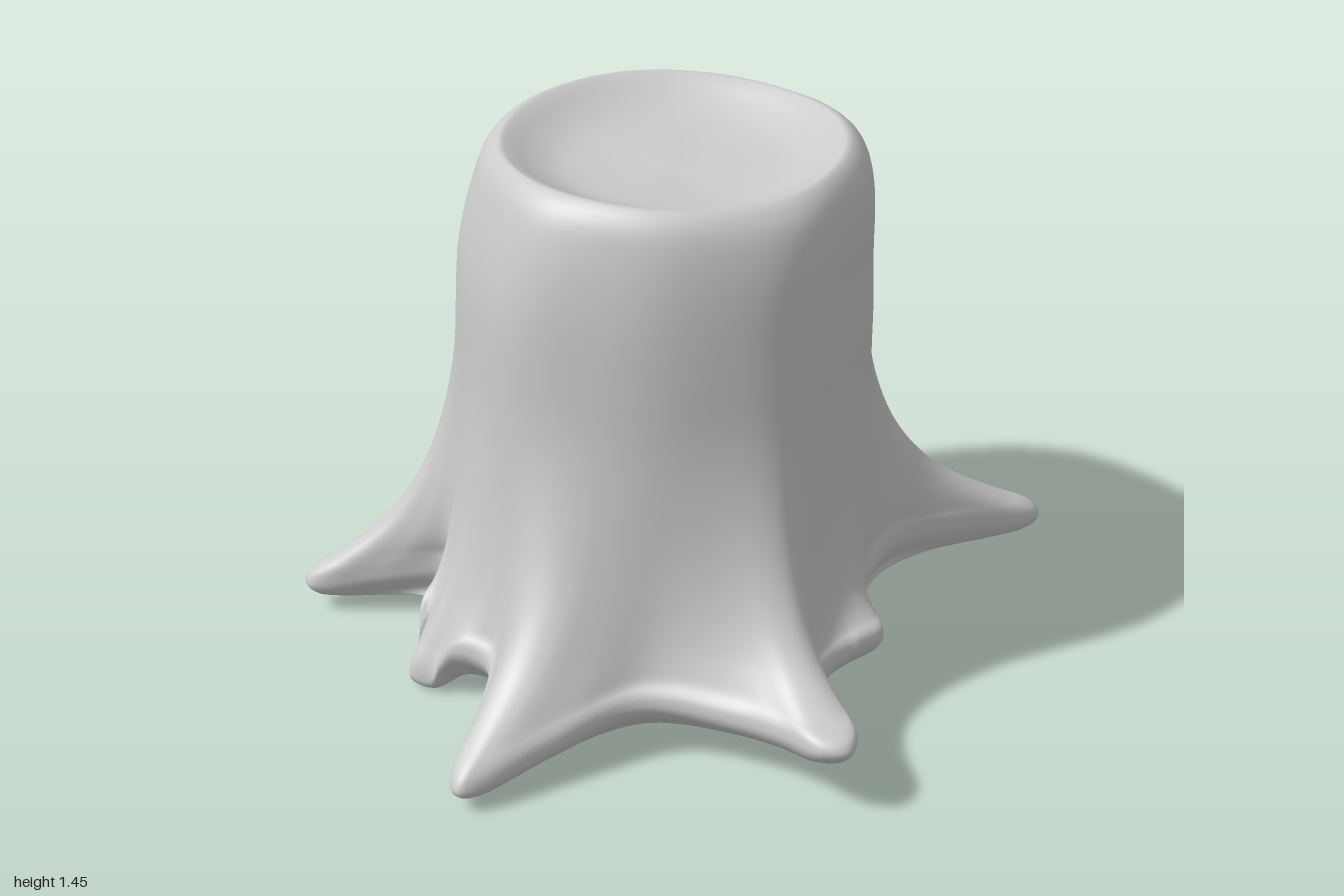
import * as THREE from 'three';

// Each root in turn around the trunk: tip x, z, tip height, tip half-width,
// then x, z of the start and of the end of the hollow before the next root
const ROOTS = [
  [-0.52, -1.0, 0.15, 0.07, -0.2, -0.73, 0.33, -0.64],
  [0.92, -0.82, 0.09, 0.045, 0.62, -0.38, 0.6, -0.06],
  [0.72, 0.12, 0.19, 0.065, 0.63, 0.27, 0.62, 0.4],
  [0.79, 0.67, 0.2, 0.06, 0.48, 0.61, 0.22, 0.63],
  [-0.13, 1.0, 0.07, 0.035, -0.22, 0.6, -0.33, 0.57],
  [-0.48, 0.53, 0.04, 0.055, -0.5, 0.4, -0.51, 0.21],
  [-0.92, 0.27, 0.09, 0.035, -0.58, -0.03, -0.55, -0.2],
  [-0.6, -0.38, 0.055, 0.05, -0.48, -0.41, -0.41, -0.56],
];

// Profile from the hollow top down the bark and under the base:
// [spread towards the root outline, height, scale of the trunk section]
const PROFILE = [
  [0, 1.37, 0], [0, 1.374, 0.35], [0, 1.388, 0.55], [0, 1.418, 0.68], [0, 1.447, 0.77],
  [0, 1.455, 0.82], [0, 1.41, 0.9], [0, 1.32, 0.95], [0, 1.2, 0.98], [0, 1.03, 1],
  [0.03, 0.85, 1], [0.1, 0.68, 1], [0.21, 0.52, 1], [0.34, 0.4, 1], [0.49, 0.305, 1],
  [0.65, 0.235, 1], [0.81, 0.18, 1], [0.92, 0.15, 1], [0.98, 0.125, 1], [1, 0.1, 1],
  [0.97, 0.073, 1], [0.86, 0.056, 1], [0.65, 0.052, 1], [0.35, 0.062, 1], [0, 0.08, 0.85],
  [0, 0.085, 0.5], [0, 0.085, 0],
];
const WIDEST = 19 / 26; // where along the profile the underside begins

const BASE_Y = 0.1;
const HOLLOW_Y = 0.17;

// Closed star-shaped outline running round every root
function rootOutline(samples) {
  const points = [];
  ROOTS.forEach(([x, z, y, w, sx, sz, ex, ez], i) => {
    const prev = ROOTS[(i + ROOTS.length - 1) % ROOTS.length];
    const tip = new THREE.Vector3(x, y, z);
    const before = new THREE.Vector3(prev[6], HOLLOW_Y, prev[7]);
    const after = new THREE.Vector3(sx, HOLLOW_Y, sz);
    const end = new THREE.Vector3(ex, HOLLOW_Y, ez);
    const across = after.clone().sub(before).setY(0).normalize().multiplyScalar(w);
    const shoulder = new THREE.Vector3(x - across.z * -0.7, y, z - across.x * 0.7);
    shoulder.set(x - across.z * 0.7, y, z + across.x * 0.7);
    const axisMid = before.clone().lerp(after, 0.5).lerp(tip, 0.5);
    const tipA = shoulder.clone().sub(across);
    const tipB = shoulder.clone().add(across);
    const flank = (hollow, side) => hollow.clone().lerp(side, 0.5).lerp(axisMid, 0.12);
    points.push(flank(before, tipA), tipA, tip, tipB, flank(after, tipB), after, end);
  });
  const curve = new THREE.CatmullRomCurve3(points, true);
  return Array.from({ length: samples }, (_, i) => curve.getPoint(i / samples));
}

// Running average round a closed loop of points
function soften(loop, reach) {
  const n = loop.length;
  return loop.map((_, i) => {
    const sum = new THREE.Vector3();
    for (let k = i - reach; k <= i + reach; k++) sum.add(loop[(k + n) % n]);
    return sum.divideScalar(2 * reach + 1);
  });
}

// Unit directions pointing into a closed loop
function inwardDirections(loop) {
  const n = loop.length;
  return loop.map((_, i) => {
    const t = loop[(i + 2) % n].clone().sub(loop[(i + n - 2) % n]);
    return new THREE.Vector3(-t.z, 0, t.x).normalize();
  });
}

function stumpGeometry() {
  const around = ROOTS.length * 42;
  const rows = 90;
  const outline = rootOutline(around);
  const inward = inwardDirections(outline);
  const broad = soften(outline, 11); // roots widen as they climb the trunk
  const angles = soften(outline, 23).map((p) => Math.atan2(p.z, p.x));
  const profile = new THREE.CatmullRomCurve3(PROFILE.map((p) => new THREE.Vector3(...p)));
  const positions = [];
  const index = [];

  for (let j = 0; j <= rows; j++) {
    const { x: spread, y: height, z: scale } = profile.getPoint(j / rows);
    const flute = THREE.MathUtils.smoothstep(scale, 0.75, 1);
    const top = THREE.MathUtils.smoothstep(height, 1.1, 1.4);
    // Roots narrow towards their underside
    const tuck = 0.03 * THREE.MathUtils.smoothstep(j / rows, WIDEST, WIDEST + 0.12);
    for (let i = 0; i < around; i++) {
      const a = angles[i];
      const o = broad[i].clone().lerp(outline[i], Math.min(1, spread * 1.3));
      o.addScaledVector(inward[i], tuck);
      // Gently fluted trunk section, leaning a little at the top
      const r = 0.55 * scale
        * (1 + flute * (0.02 * Math.cos(5 * (a - 0.66)) + 0.008 * Math.cos(9 * a + 1)));
      const rimWave = 0.007 * top * scale * Math.cos(3 * a + 1);
      positions.push(
        THREE.MathUtils.lerp(0.035 + 0.02 * top + r * Math.cos(a), o.x, spread),
        height + rimWave + (o.y - BASE_Y) * spread * spread,
        THREE.MathUtils.lerp(-0.05 - 0.01 * top + r * Math.sin(a), o.z, spread),
      );
      if (j < rows) {
        const p = j * around + i;
        const q = j * around + ((i + 1) % around);
        index.push(p, q, p + around, q, q + around, p + around);
      }
    }
  }
  const geometry = new THREE.BufferGeometry();
  geometry.setAttribute('position', new THREE.Float32BufferAttribute(positions, 3));
  geometry.setIndex(index);
  geometry.computeVertexNormals();
  return geometry;
}

export function createModel() {
  const group = new THREE.Group();
  group.name = 'treeStump';
  // Trunk, hollow top and roots form one continuous skin
  const stump = new THREE.Mesh(stumpGeometry(), new THREE.MeshStandardMaterial({ color: 0xcccccc }));
  stump.name = 'trunkWithRoots';
  group.add(stump);
  return group;
}
